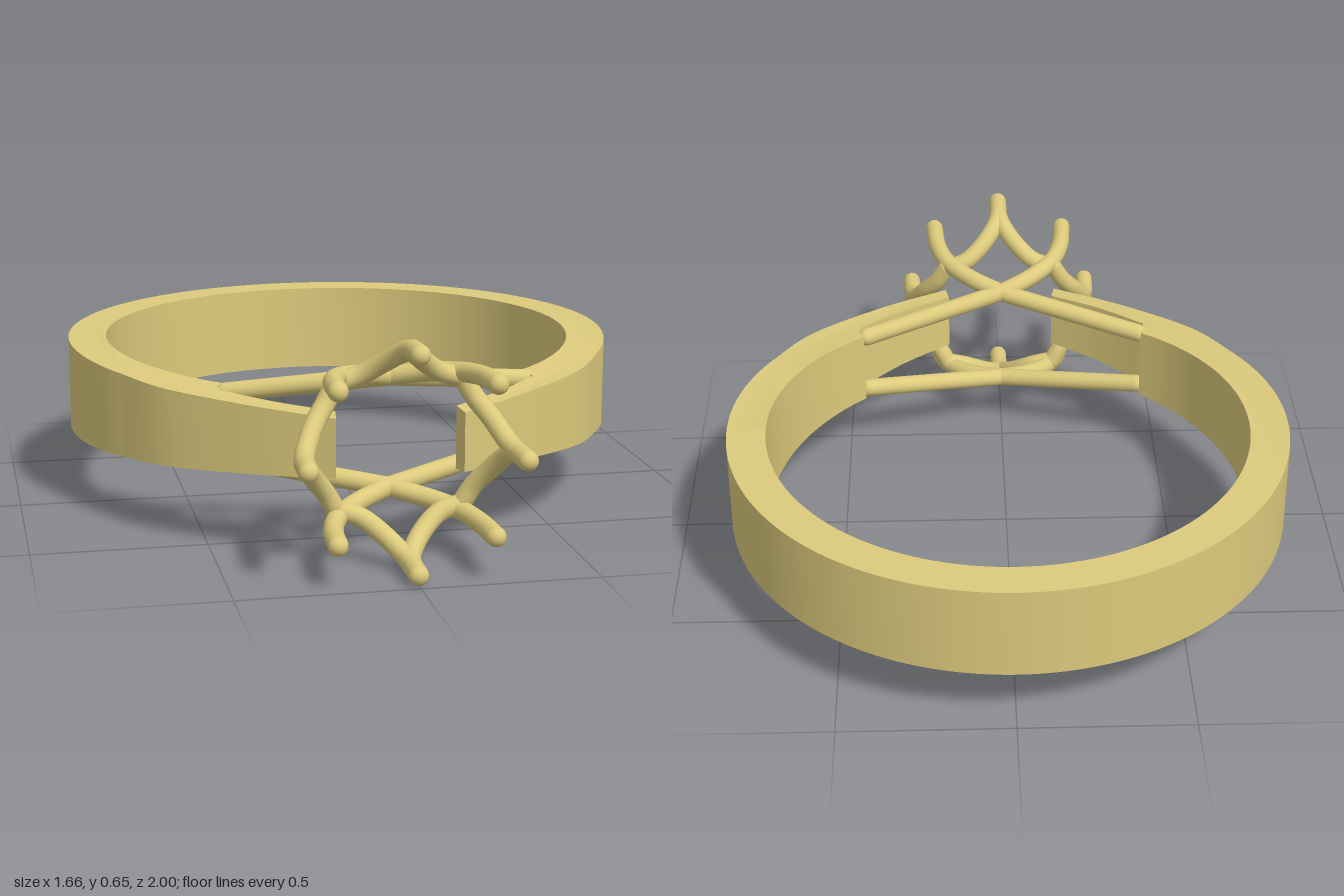
import * as THREE from 'three';
import { toCreasedNormals } from 'three/addons/utils/BufferGeometryUtils.js';

const MID = 0.328;      // height of the symmetry plane
const WIRE = 0.028;     // wire radius
const CZ = -0.17;       // band centre
const gold = new THREE.MeshStandardMaterial({ color: 0xdcca7c });

function createBand() {
  const v = (x, z) => new THREE.Vector2(x, -z);
  // outer and inner edges of the right half, running from the back to the front
  const arc = (r, end, n) => Array.from({ length: n + 1 }, (_, i) => {
    const a = -Math.PI / 2 + (end + Math.PI / 2) * i / n;
    return v(r * Math.cos(a), CZ + r * Math.sin(a));
  });
  const shoulder = new THREE.SplineCurve([v(0.72, 0.242), v(0.605, 0.425), v(0.385, 0.615), v(0.18, 0.75)]);
  const slope = new THREE.SplineCurve([v(0.455, 0.46), v(0.32, 0.585), v(0.17, 0.69)]);
  const outer = [...arc(0.83, Math.atan2(0.412, 0.72), 56), ...shoulder.getPoints(24).slice(1)];
  const inner = [...arc(0.715, Math.atan2(0.562, 0.442), 56), ...slope.getPoints(16)];
  const half = [...outer, ...inner.reverse()];
  const mirrored = half.map(p => new THREE.Vector2(-p.x, p.y)).reverse();
  // drop the doubled points on the centre line
  const outline = [...half.slice(0, -1), ...mirrored.slice(0, -1)];

  const geo = new THREE.ExtrudeGeometry(new THREE.Shape(outline), { depth: 1, bevelEnabled: false });
  geo.rotateX(-Math.PI / 2);
  // taper the band's height towards the setting
  const pos = geo.attributes.position;
  for (let i = 0; i < pos.count; i++) {
    const t = THREE.MathUtils.clamp((pos.getZ(i) + 0.3) / 1.05, 0, 1);
    const h = 0.138 - 0.054 * Math.pow(t, 2);
    pos.setY(i, MID + (pos.getY(i) * 2 - 1) * h);
  }
  const mesh = new THREE.Mesh(toCreasedNormals(geo, 0.5), gold);
  mesh.name = 'band';
  return mesh;
}

// Wire through points given as [x, offset from the middle plane, z], with round ends
function wire(name, points, sx, sy) {
  const group = new THREE.Group();
  group.name = name;
  const pts = points.map(([x, y, z]) => new THREE.Vector3(x * sx, MID + y * sy, z));
  const curve = new THREE.CatmullRomCurve3(pts);
  group.add(new THREE.Mesh(new THREE.TubeGeometry(curve, pts.length > 2 ? 32 : 1, WIRE, 20), gold));
  for (const p of [pts[0], pts[pts.length - 1]]) {
    const ball = new THREE.Mesh(new THREE.SphereGeometry(WIRE, 20, 14), gold);
    ball.position.copy(p);
    group.add(ball);
  }
  return group;
}

export function createModel() {
  const model = new THREE.Group();
  model.name = 'ring';
  model.add(createBand());

  const setting = new THREE.Group();
  setting.name = 'setting';
  for (const sx of [1, -1]) {
    for (const sy of [1, -1]) {
      setting.add(
        // straight support from the band to the crossing point
        wire('support', [[0.435, 0.095, 0.428], [0, 0.16, 0.59]], sx, sy),
        // diagonal prong from the crossing point
        wire('diagonalProng', [[0, 0.16, 0.59], [0.095, 0.18, 0.65], [0.17, 0.195, 0.735],
          [0.203, 0.205, 0.83], [0.215, 0.209, 0.958]], sx, sy),
        // branches that join the diagonal prongs to the end and side prongs
        wire('endBranch', [[0, 0.295, 0.89], [0.01, 0.283, 0.84], [0.055, 0.24, 0.775],
          [0.11, 0.2, 0.738], [0.172, 0.18, 0.728]], sx, sy),
        wire('sideBranch', [[0.292, 0, 0.89], [0.281, 0.015, 0.835], [0.245, 0.075, 0.772],
          [0.208, 0.125, 0.74], [0.176, 0.18, 0.728]], sx, sy)
      );
    }
    setting.add(
      wire('sideProng', [[0.296, 0, 0.972], [0.292, 0, 0.885]], sx, 1),
      wire('endProng', [[0, 0.299, 0.972], [0, 0.295, 0.885]], 1, sx)
    );
  }
  model.add(setting);
  return model;
}
